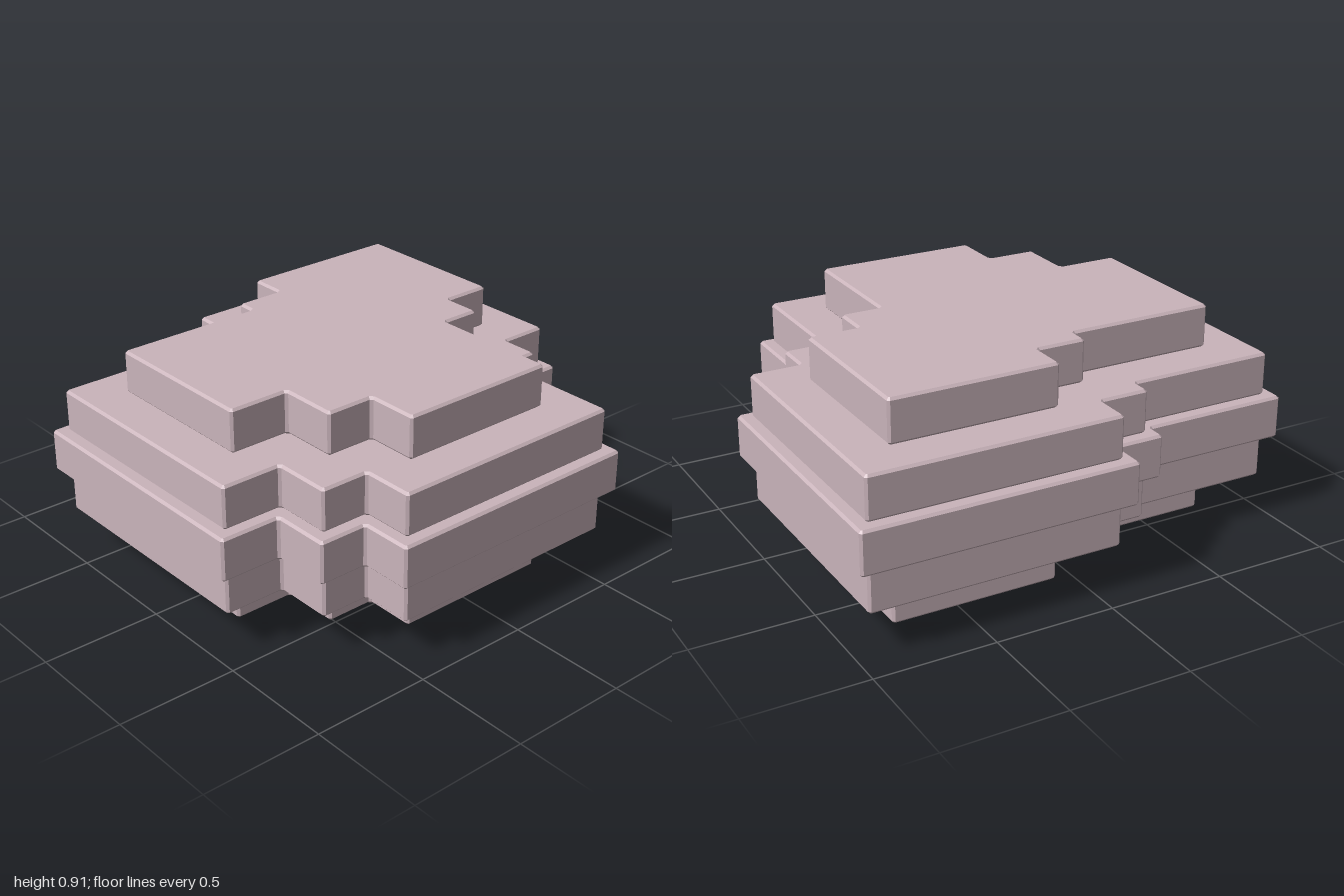
import * as THREE from 'three';

// Stepped outline of the widest slab, as [x, z], walked with the inside on the left
const OUTLINE = [
  [-1, -0.686], [-0.365, -0.686], [-0.365, -0.77], [-0.155, -0.77],
  [-0.155, -0.93], [1, -0.93], [1, 0.213], [0.785, 0.213],
  [0.785, 0.376], [0.613, 0.376], [0.613, 0.93], [-0.532, 0.93],
  [-0.532, 0.71], [-0.74, 0.71], [-0.74, 0.463], [-1, 0.463],
].map(([x, z]) => new THREE.Vector2(x, z));

const LAYER = 0.182;
const BEVEL = 0.01;

// Unit direction from a to b
const direction = (a, b) => b.clone().sub(a).normalize();

// Inset outline with every corner slightly cut
function insetShape(inset) {
  const n = OUTLINE.length;
  const points = [];
  OUTLINE.forEach((p, i) => {
    const into = direction(OUTLINE[(i + n - 1) % n], p);
    const out = direction(p, OUTLINE[(i + 1) % n]);
    const corner = new THREE.Vector2(
      p.x - inset * (into.y + out.y),
      p.y + inset * (into.x + out.x),
    );
    points.push(corner.clone().addScaledVector(into, -BEVEL));
    points.push(corner.clone().addScaledVector(out, BEVEL));
  });
  return new THREE.Shape(points);
}

// Chamfered slab lying flat, standing on y = 0
function slabGeometry(inset) {
  const geometry = new THREE.ExtrudeGeometry(insetShape(inset), {
    depth: LAYER - 2 * BEVEL,
    bevelEnabled: true,
    bevelThickness: BEVEL,
    bevelSize: BEVEL,
    bevelOffset: -BEVEL,
    bevelSegments: 1,
  });
  geometry.rotateX(Math.PI / 2);
  geometry.translate(0, LAYER - BEVEL, 0);
  return geometry;
}

export function createModel() {
  const model = new THREE.Group();
  model.name = 'steppedRock';
  const stone = new THREE.MeshStandardMaterial({ color: 0xcab4bb });
  stone.name = 'dusty pink stone';

  // Five stacked slabs, widest in the middle
  const layers = [
    ['bottomSlab', 0.224], ['lowerSlab', 0.047], ['middleSlab', 0],
    ['upperSlab', 0.047], ['topSlab', 0.224],
  ];
  layers.forEach(([name, inset], i) => {
    const slab = new THREE.Mesh(slabGeometry(inset), stone);
    slab.name = name;
    slab.position.y = i * LAYER;
    model.add(slab);
  });
  return model;
}
